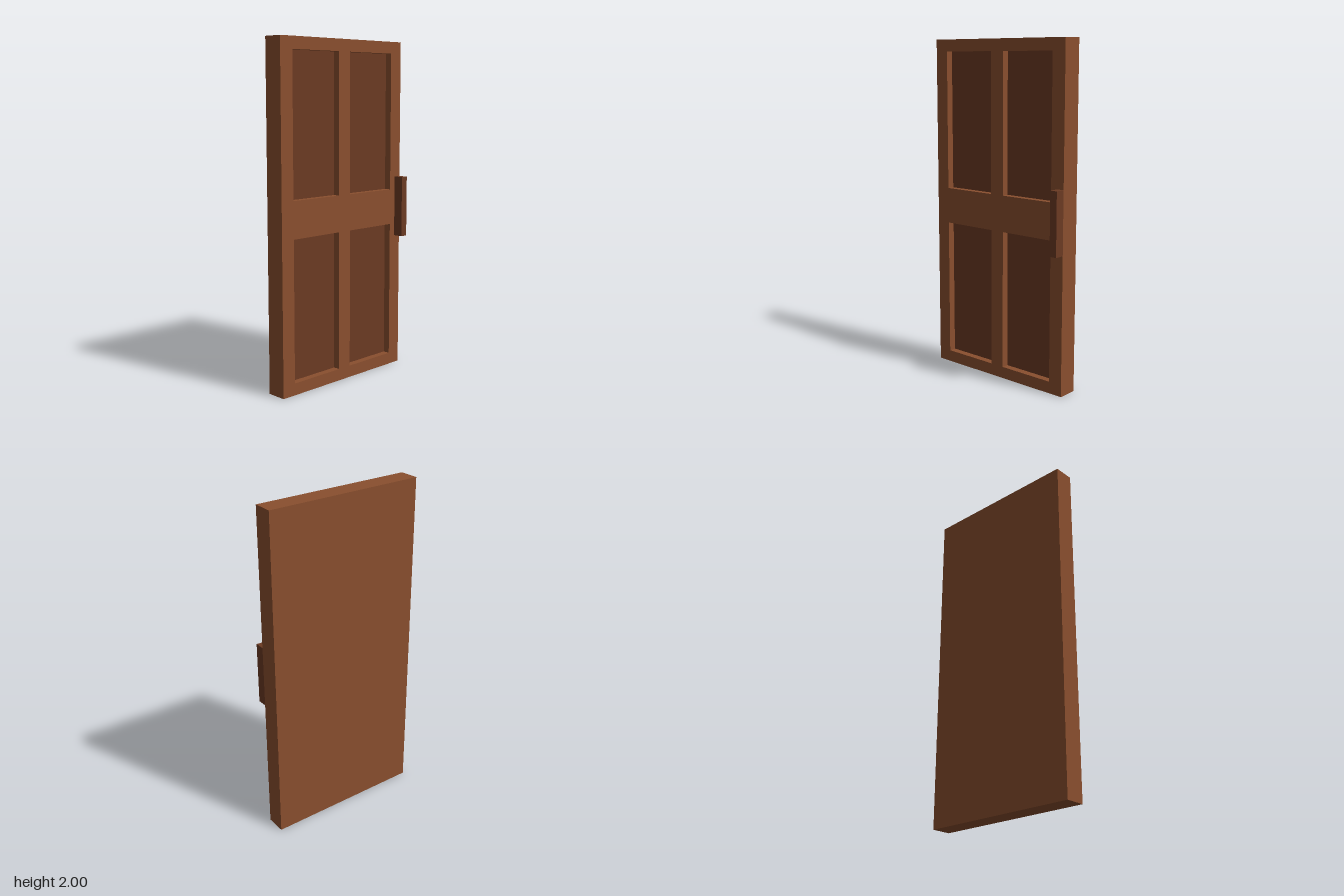
import * as THREE from 'three';

const WIDTH = 0.968, HEIGHT = 2;
const BACK = -0.09, FRONT = 0.03, RECESS = 0.045;

// Rectangle outline between two corners
function rect(Type, x0, y0, x1, y1) {
  const r = new Type();
  r.moveTo(x0, y0);
  r.lineTo(x1, y0);
  r.lineTo(x1, y1);
  r.lineTo(x0, y1);
  r.closePath();
  return r;
}

export function createModel() {
  const door = new THREE.Group();
  door.name = 'door';

  const wood = new THREE.MeshStandardMaterial({ color: 0x8a4f2e });
  wood.name = 'brown wood';
  const darkWood = new THREE.MeshStandardMaterial({ color: 0x6b3a23 });
  darkWood.name = 'dark brown wood';

  // Box given by its lower and upper corners
  function box(name, material, min, max) {
    const size = max.map((v, i) => v - min[i]);
    const mesh = new THREE.Mesh(new THREE.BoxGeometry(...size), material);
    mesh.position.set(...min.map((v, i) => (v + max[i]) / 2));
    mesh.name = name;
    door.add(mesh);
  }

  // Plain back slab
  const bed = FRONT - RECESS;
  box('backSlab', wood, [BACK, 0, -WIDTH / 2], [bed, HEIGHT, WIDTH / 2]);

  // Raised frame with four openings, each backed by a thin dark panel
  const outline = rect(THREE.Shape, -WIDTH / 2, 0, WIDTH / 2, HEIGHT);
  for (const [row, y0, y1] of [['lower', 0.07, 0.895], ['upper', 1.11, 1.93]]) {
    for (const [side, z0, z1] of [['Front', 0.045, 0.398], ['Back', -0.398, -0.045]]) {
      outline.holes.push(rect(THREE.Path, z0, y0, z1, y1));
      box(row + side + 'Panel', darkWood, [bed, y0, z0], [bed + 0.003, y1, z1]);
    }
  }
  const frameGeometry = new THREE.ExtrudeGeometry(outline, { depth: RECESS, bevelEnabled: false });
  frameGeometry.rotateY(Math.PI / 2);
  const frame = new THREE.Mesh(frameGeometry, wood);
  frame.position.x = bed;
  frame.name = 'frame';
  door.add(frame);

  // Upright handle block at the back edge
  box('handle', darkWood, [FRONT, 0.82, -WIDTH / 2], [0.09, 1.187, -0.439]);

  return door;
}
